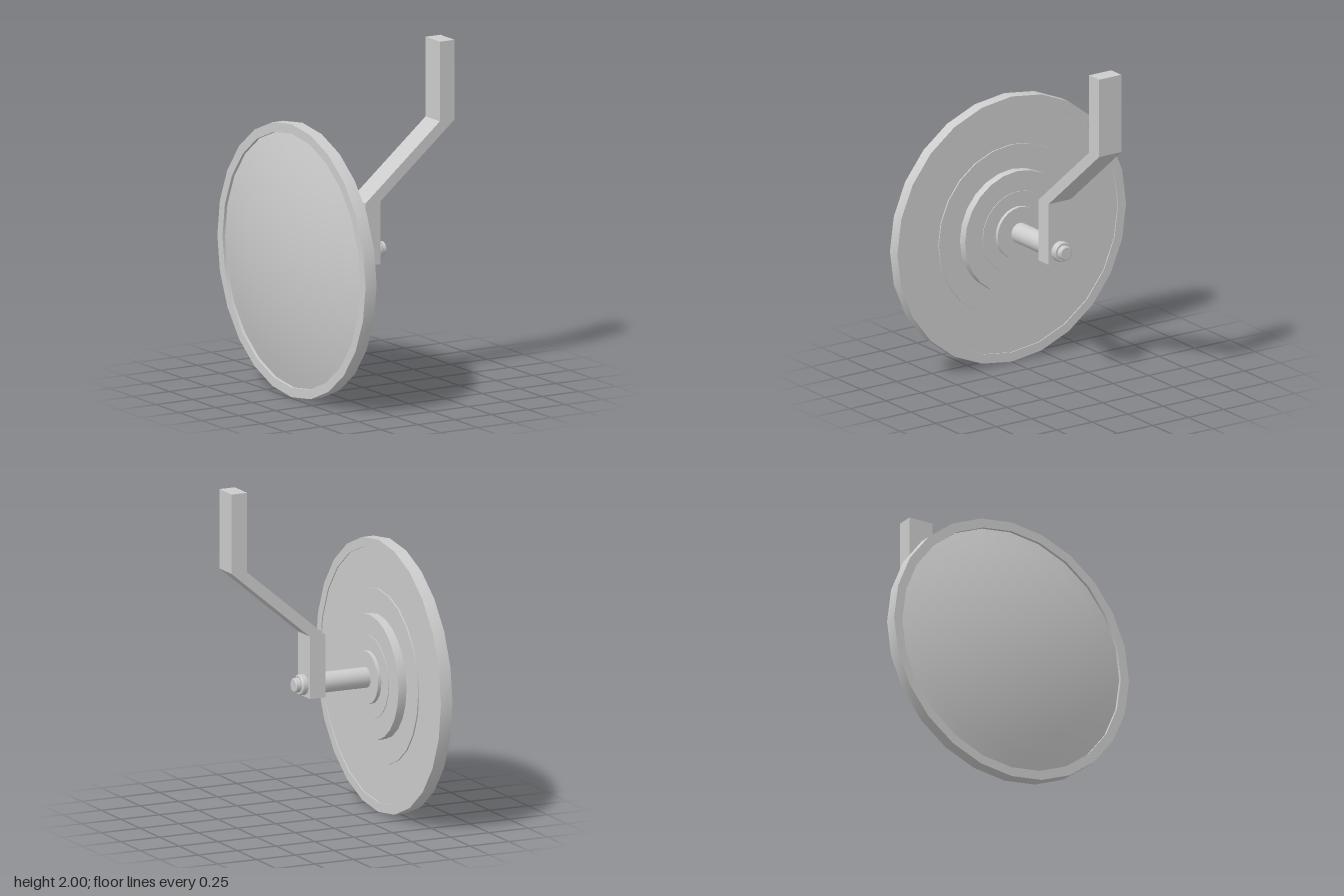
import * as THREE from 'three';
import { toCreasedNormals } from 'three/addons/utils/BufferGeometryUtils.js';

const AXLE_Y = 0.806;
const material = new THREE.MeshStandardMaterial({ color: 0xcccccc });

// Turned part: profile of [x along the axle, radius], from the -x end to the +x end
function turned(name, profile, sides = 24) {
  const points = profile.map(([x, r]) => new THREE.Vector2(r, x));
  const mesh = new THREE.Mesh(toCreasedNormals(new THREE.LatheGeometry(points, sides), 0.5), material);
  mesh.name = name;
  mesh.rotation.z = -Math.PI / 2;
  mesh.position.y = AXLE_Y;
  return mesh;
}

export function createModel() {
  const group = new THREE.Group();
  group.name = 'discCoulter';

  // Shallow domed disc, set into its rim
  const dome = [];
  for (let i = 0; i <= 8; i++) {
    const r = 0.75 * i / 8;
    dome.push([-0.58 + 0.2 * r * r, r]);
  }
  group.add(turned('disc', [...dome, [-0.416, 0.75], [-0.416, 0]]));

  // Rim band
  group.add(turned('rim', [
    [-0.46, 0.75], [-0.485, 0.75], [-0.485, 0.806], [-0.41, 0.806], [-0.41, 0.75], [-0.42, 0.75],
  ]));

  // Stepped hub plates
  const plates = [
    ['backingPlate', -0.42, -0.408, 0.515],
    ['hubPlate', -0.42, -0.356, 0.367],
    ['hubStep', -0.36, -0.352, 0.245],
    ['hubCollar', -0.36, -0.33, 0.155],
  ];
  for (const [name, x0, x1, r] of plates) {
    group.add(turned(name, [[x0, 0], [x0, r], [x1, r], [x1, 0]]));
  }

  // Axle and its end nut
  group.add(turned('axle', [[-0.35, 0], [-0.35, 0.06], [0.06, 0.06], [0.06, 0]]));
  group.add(turned('endNut', [
    [0.06, 0], [0.06, 0.06], [0.1, 0.06], [0.106, 0.054], [0.106, 0.042], [0.134, 0.042], [0.138, 0.036], [0.138, 0],
  ]));

  // Cranked arm
  const outline = [
    [-0.03, 0.735], [0.07, 0.735], [0.07, 1.105], [0.575, 1.53],
    [0.575, 2], [0.475, 2], [0.475, 1.53], [-0.03, 1.105],
  ].map(([x, y]) => new THREE.Vector2(x, y));
  const armGeometry = new THREE.ExtrudeGeometry(new THREE.Shape(outline), { depth: 0.156, bevelEnabled: false });
  armGeometry.translate(0, 0, -0.078);
  const arm = new THREE.Mesh(armGeometry, material);
  arm.name = 'crankedArm';
  group.add(arm);

  return group;
}
